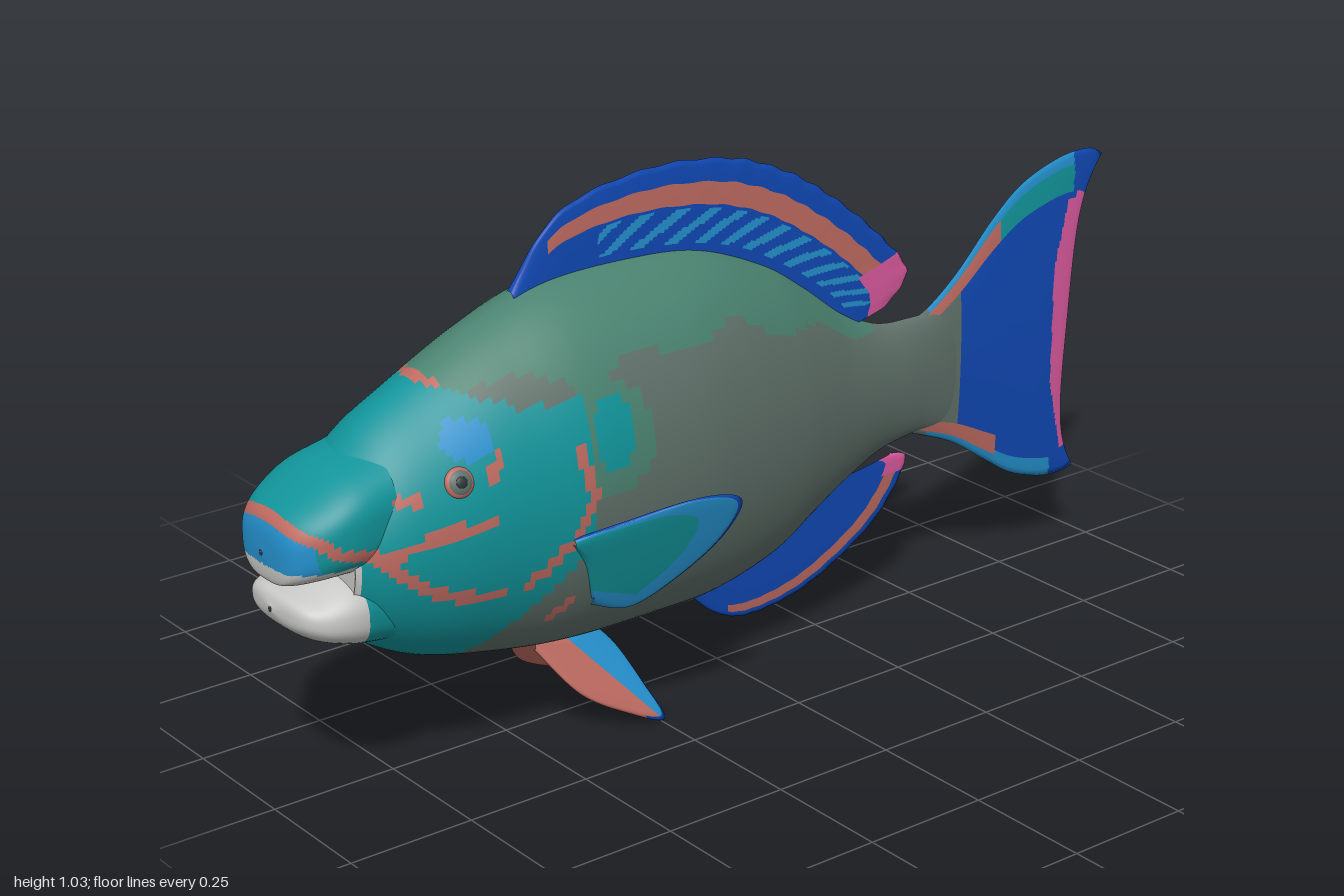
import * as THREE from 'three';

const V2 = (a) => new THREE.Vector2(a[0], a[1]);
const palette = {
  greyGreen: 0x60716a, backGreen: 0x4a8270, teal: 0x11949a, coral: 0xbd6a60, deepBlue: 0x1048b4,
  skyBlue: 0x2490cc, pink: 0xda5a9e, beakWhite: 0xc8c8c6, pupilDark: 0x2a3538,
};
const names = Object.keys(palette);
const mats = names.map((name) => {
  const m = new THREE.MeshStandardMaterial({ color: palette[name] });
  m.name = name;
  return m;
});
const mat = (name) => mats[names.indexOf(name)];

// Closed tube of nu x nv quads; paint(point, u, v) names the colour of each quad
function surface(name, nu, nv, point, paint) {
  const pos = [], lists = names.map(() => []);
  for (let i = 0; i <= nu; i++) for (let j = 0; j < nv; j++) pos.push(...point(i / nu, j / nv));
  for (let i = 0; i < nu; i++) {
    for (let j = 0; j < nv; j++) {
      const k = (j + 1) % nv;
      const a = i * nv + j, b = i * nv + k, c = a + nv, d = b + nv;
      const mid = [0, 1, 2].map((n) => (pos[a * 3 + n] + pos[b * 3 + n] + pos[c * 3 + n] + pos[d * 3 + n]) / 4);
      lists[names.indexOf(paint(mid, (i + 0.5) / nu, (j + 0.5) / nv))].push(a, b, c, b, d, c);
    }
  }
  const geo = new THREE.BufferGeometry(), used = [], index = [];
  geo.setAttribute('position', new THREE.Float32BufferAttribute(pos, 3));
  lists.forEach((list, n) => {
    if (!list.length) return;
    geo.addGroup(index.length, list.length, used.length);
    used.push(mats[n]);
    for (const q of list) index.push(q);
  });
  geo.setIndex(index);
  geo.computeVertexNormals();
  const mesh = new THREE.Mesh(geo, used);
  mesh.name = name;
  return mesh;
}

// Sections run front to back: [z, top, bottom, halfWidth]; e < 1 is boxier, crest > 1 narrows the back
function loft(name, sections, perSection, nv, e, crest, paint) {
  const spline = (f) => new THREE.CatmullRomCurve3(sections.map(f), false, 'catmullrom', 0.5);
  const upper = spline((s) => new THREE.Vector3(s[3], s[1], s[0]));
  const lower = spline((s) => new THREE.Vector3(0, s[2], s[0]));
  const pow = (t, n) => Math.sign(t) * Math.abs(t) ** n;
  return surface(name, (sections.length - 1) * perSection, nv, (u, v) => {
    const t = upper.getPoint(u), b = lower.getPoint(u), a = v * Math.PI * 2;
    const c = Math.cos(a);
    return [t.x * pow(Math.sin(a), c > 0 ? crest : e), (t.y + b.y) / 2 + ((t.y - b.y) / 2) * pow(c, e), t.z];
  }, paint);
}

// Fin between a base line and an edge line of [z, y] points; s runs 0 at the base to 1 at the edge
const span = (v) => (v < 0.5 ? 2 * v : 2 - 2 * v);
function fin(name, base, edge, thick, paint, { lean = () => 0, ripple = 0, nu = 100, nv = 56 } = {}) {
  const cb = new THREE.SplineCurve(base.map(V2)), ce = new THREE.SplineCurve(edge.map(V2));
  const across = ce.getPoint(0.5).sub(cb.getPoint(0.5)), along = cb.getPoint(0.6).sub(cb.getPoint(0.4));
  const first = Math.sign(across.y * along.x - across.x * along.y);
  return surface(name, nu, nv, (u, v) => {
    const s = span(v);
    const p = cb.getPoint(u).lerp(ce.getPoint(u), s * (1 + ripple * Math.sin(u * 110)));
    const t = v === 0 ? 0 : thick * Math.sqrt(1 - s) + (s < 1 ? 0.002 : 0);
    return [lean(p.x, p.y) + (v < 0.5 ? first : -first) * t, p.y, p.x];
  }, (p, u, v) => paint(u, span(v), v < 0.5 ? first : -first));
}

// Coral lines on the cheek, as [z, y] paths
const strokes = [
  [[0.97, 0.555], [0.92, 0.515], [0.83, 0.49], [0.74, 0.515], [0.64, 0.52]],
  [[0.85, 0.49], [0.77, 0.42], [0.70, 0.385], [0.62, 0.375]],
  [[0.46, 0.61], [0.435, 0.53], [0.47, 0.45], [0.56, 0.38]],
  [[0.47, 0.31], [0.50, 0.29]], [[0.77, 0.585], [0.80, 0.58]], [[0.63, 0.60], [0.61, 0.63]],
];
function nearStroke(z, y, width) {
  return strokes.some((path) => path.slice(1).some((b, i) => {
    const a = path[i], dz = b[0] - a[0], dy = b[1] - a[1];
    const t = THREE.MathUtils.clamp(((z - a[0]) * dz + (y - a[1]) * dy) / (dz * dz + dy * dy), 0, 1);
    return Math.hypot(z - a[0] - t * dz, y - a[1] - t * dy) < width;
  }));
}
const inOval = (z, y, cz, cy, rz, ry) => ((z - cz) / rz) ** 2 + ((y - cy) / ry) ** 2 < 1;

function paintBody([, y, z]) {
  if (z > 0.874) return 'beakWhite'; // inside of the mouth
  if (nearStroke(z, y, 0.011)) return 'coral';
  if (inOval(z, y, 0.66, 0.665, 0.045, 0.035)) return 'skyBlue';
  const brow = 0.70 + Math.max(0, z - 0.55) * 0.4;
  if (z > 0.66 && Math.abs(y - brow) < 0.007) return 'coral';
  if (z > 0.44 + 1.1 * Math.max(0, 0.42 - y) && y < brow) return 'teal';
  if (inOval(z, y, 0.385, 0.63, 0.045, 0.07)) return 'teal';
  if (inOval(z, y, 0.40, 0.62, 0.10, 0.11)) return 'backGreen';
  const line = 0.74 + Math.min(0, z - 0.05) * 0.33 + 0.012 * Math.sin(z * 26);
  return y > line && z > -0.38 ? 'backGreen' : 'greyGreen';
}

function paintSnout([x, y, z]) {
  const arc = 0.568 - 2.2 * x * x;
  if (z > 0.88 && y < 0.48) return 'beakWhite';
  if (z > 0.9 && Math.abs(x) < 0.112) {
    if (Math.abs(y - arc) < 0.009) return 'coral';
    return y < arc ? 'skyBlue' : 'teal';
  }
  return nearStroke(z, y, 0.011) ? 'coral' : 'teal';
}

function paintDorsal(u, s) {
  if (u > 0.81 && s > 0.5) return 'pink';
  if (u > 0.1 && s > 0.57 && s < 0.77) return 'coral';
  const streak = (u * 17 - s * 3 + 3) % 1;
  return u > 0.2 && u < 0.92 && s > 0.2 && s < 0.53 && streak < 0.42 ? 'skyBlue' : 'deepBlue';
}

function paintAnal(u, s) {
  if (u > 0.8 && s > 0.72) return 'pink';
  return u > 0.22 && s > 0.74 && s < 0.88 ? 'coral' : 'deepBlue';
}

function paintTail(z, y, s) {
  const rim = Math.min(s, 1 - s);
  if (z > -0.72 && z < -0.5 && rim > 0.04 && rim < 0.13) return 'coral';
  if (z > -0.615) return rim < 0.04 && z < -0.53 ? 'skyBlue' : 'greyGreen';
  if (z < -0.868 - 0.25 * Math.max(0, Math.abs(y - 0.5) - 0.12) && y > 0.22 && y < 0.77) return 'pink';
  if (s < 0.13 && z > -0.92) return s < 0.04 || z > -0.7 ? 'skyBlue' : 'teal';
  if (s > 0.93 && z > -0.88) return 'skyBlue';
  return 'deepBlue';
}

function makeTail() {
  const top = new THREE.SplineCurve([[-0.45, 0.58], [-0.53, 0.61], [-0.61, 0.67], [-0.7, 0.76], [-0.78, 0.82],
    [-0.88, 0.855], [-0.96, 0.86], [-1, 0.842]].map(V2));
  const low = new THREE.SplineCurve([[-0.45, 0.37], [-0.53, 0.34], [-0.61, 0.305], [-0.7, 0.245], [-0.77, 0.20],
    [-0.85, 0.172], [-0.91, 0.165], [-0.95, 0.172]].map(V2));
  return surface('tailFin', 110, 100, (u, v) => {
    const s = span(v), p = top.getPoint(u).lerp(low.getPoint(u), s);
    const bow = 0.06 * u ** 4 * (1 - (2 * s - 1) ** 4); // hollow trailing edge
    const t = 0.016 * Math.sqrt(Math.sin(Math.PI * s)) * (1 - 0.5 * u) * (1 - u ** 12);
    return [(v < 0.5 ? t : -t) || 0, p.y, p.x + bow];
  }, (p, u, v) => paintTail(p[2], p[1], span(v)));
}

export function createModel() {
  const fish = new THREE.Group();
  fish.name = 'fish';

  fish.add(loft('body', [
    [0.885, 0.48, 0.47, 0.004], [0.882, 0.585, 0.36, 0.105], [0.876, 0.61, 0.335, 0.118], [0.8, 0.688, 0.272, 0.154],
    [0.7, 0.745, 0.225, 0.175], [0.55, 0.82, 0.19, 0.192], [0.4, 0.868, 0.17, 0.209], [0.2, 0.873, 0.165, 0.203],
    [0.05, 0.855, 0.167, 0.178], [-0.1, 0.795, 0.20, 0.14], [-0.2, 0.73, 0.25, 0.108], [-0.3, 0.655, 0.30, 0.075],
    [-0.4, 0.607, 0.34, 0.048], [-0.5, 0.60, 0.355, 0.03], [-0.6, 0.60, 0.36, 0.014], [-0.63, 0.5, 0.47, 0.002],
  ], 14, 96, 1, 1.15, paintBody));

  // Beak: snout above the open mouth, jaw below
  fish.add(loft('upperSnout', [
    [1, 0.505, 0.495, 0.004], [0.995, 0.55, 0.452, 0.06], [0.98, 0.575, 0.445, 0.092],
    [0.94, 0.602, 0.447, 0.12], [0.88, 0.635, 0.448, 0.134], [0.8, 0.66, 0.44, 0.13],
  ], 14, 80, 0.7, 0.9, paintSnout));
  fish.add(loft('lowerJaw', [
    [0.988, 0.395, 0.385, 0.004], [0.975, 0.417, 0.36, 0.08], [0.94, 0.428, 0.335, 0.115],
    [0.88, 0.447, 0.313, 0.129], [0.8, 0.44, 0.295, 0.115],
  ], 10, 56, 0.78, 0.78, ([, , z]) => (z > 0.868 ? 'beakWhite' : 'teal')));

  // Fins on the centre line
  fish.add(fin('dorsalFin',
    [[0.47, 0.85], [0.37, 0.855], [0.25, 0.855], [0.1, 0.84], [-0.02, 0.81], [-0.12, 0.76], [-0.2, 0.71], [-0.26, 0.66], [-0.31, 0.62]],
    [[0.47, 0.86], [0.36, 0.985], [0.17, 1.028], [-0.02, 1.015], [-0.16, 0.965], [-0.28, 0.89], [-0.4, 0.79], [-0.475, 0.70], [-0.42, 0.64]],
    0.012, paintDorsal, { ripple: 0.009, nu: 200, nv: 64 }));
  fish.add(fin('analFin',
    [[0.07, 0.18], [0, 0.19], [-0.1, 0.215], [-0.18, 0.25], [-0.25, 0.285], [-0.31, 0.31]],
    [[0.075, 0.165], [0, 0.10], [-0.09, 0.075], [-0.235, 0.10], [-0.4, 0.19], [-0.482, 0.30], [-0.44, 0.325]],
    0.011, paintAnal, { ripple: 0.005 }));
  fish.add(makeTail());

  // Paired fins and eyes
  for (const [label, side] of [['left', 1], ['right', -1]]) {
    fish.add(fin(label + 'PectoralFin',
      [[0.48, 0.44], [0.46, 0.40], [0.44, 0.35], [0.42, 0.31]],
      [[0.48, 0.45], [0.40, 0.475], [0.27, 0.51], [0.195, 0.495], [0.205, 0.42], [0.26, 0.34], [0.34, 0.275], [0.42, 0.295]],
      0.009, (u, s, face) => {
        if (s > 0.95) return 'deepBlue';
        return face !== side || s > 0.72 || u > 0.8 ? 'skyBlue' : 'teal'; // teal only on the outer face
      },
      { lean: (z, y) => side * (0.19 - 0.36 * z + 0.4 * y), nu: 60 }));
    fish.add(fin(label + 'PelvicFin',
      [[0.46, 0.195], [0.40, 0.19], [0.33, 0.19]],
      [[0.465, 0.175], [0.40, 0.085], [0.31, 0.03], [0.24, 0.005], [0.26, 0.07], [0.29, 0.14], [0.32, 0.18]],
      0.01, (u, s) => (s > 0.95 && u > 0.4 ? 'deepBlue' : u < 0.48 ? 'coral' : 'skyBlue'),
      { lean: (z, y) => side * (0.15 - 0.6 * y), nu: 50, nv: 40 }));

    const eye = new THREE.Group();
    eye.name = label + 'Eye';
    [['iris', 'coral', 0.028, 0], ['eyeball', 'greyGreen', 0.023, 0.004], ['pupil', 'pupilDark', 0.011, 0.011]]
      .forEach(([part, colour, r, out]) => {
        const ball = new THREE.Mesh(new THREE.SphereGeometry(r, 24, 16), mat(colour));
        ball.name = part;
        ball.scale.x = 0.4;
        ball.position.x = side * out;
        eye.add(ball);
      });
    eye.position.set(side * 0.154, 0.6, 0.69);
    eye.rotation.set(0, -side * 0.15, side * 0.35);
    fish.add(eye);
  }
  return fish;
}
